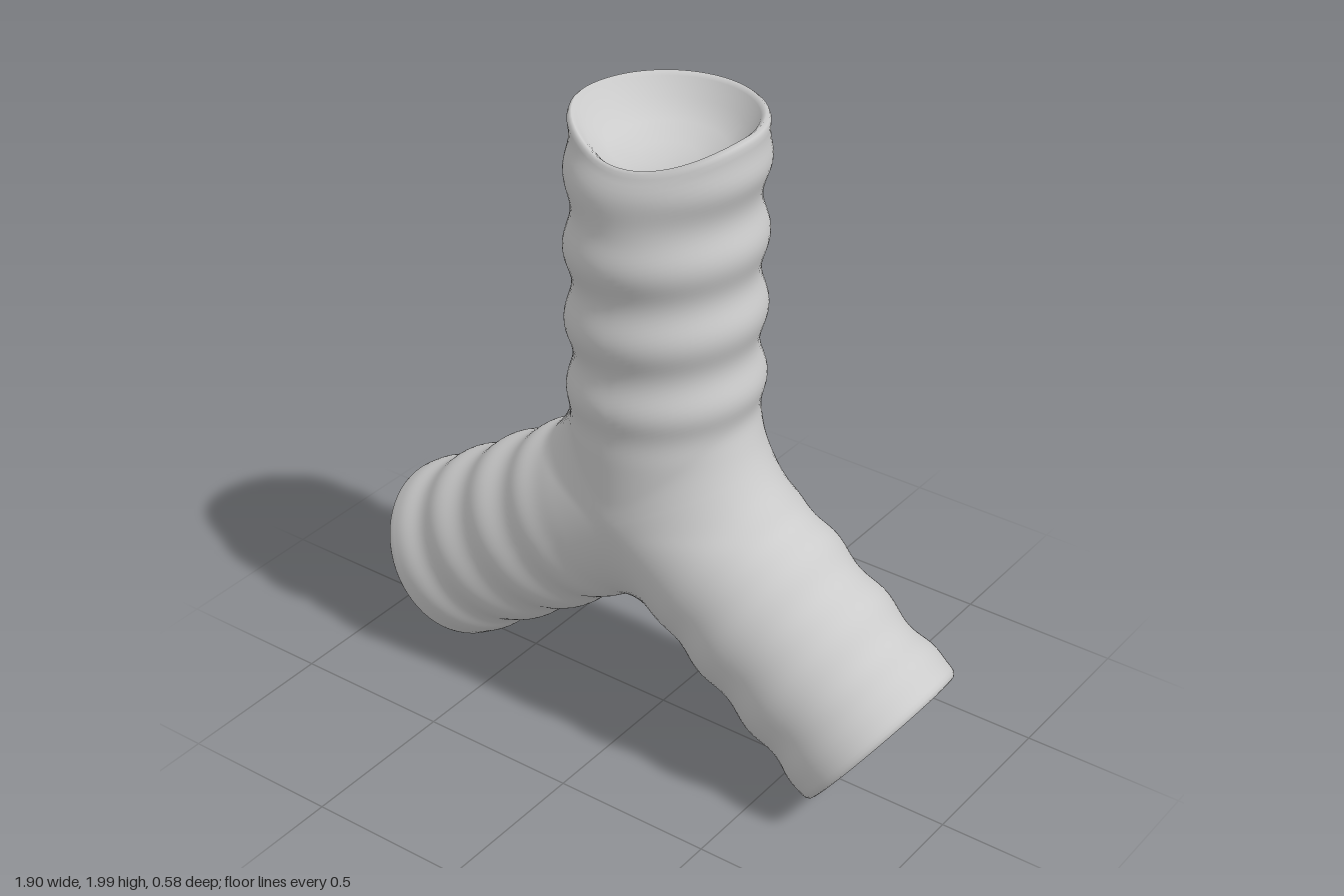
import * as THREE from 'three';
import { mergeVertices } from 'three/addons/utils/BufferGeometryUtils.js';

const R = 0.277, AROUND = 64, ROWS = 64;
const centre = new THREE.Vector3(0.01, 0.81, 0);
const zAxis = new THREE.Vector3(0, 0, 1);
const V = (x, y, z = 0) => new THREE.Vector3(x, y, z);
const smooth = THREE.MathUtils.smoothstep;

// cap rows: [radius scale, rise along the arm, blend towards the floor]
const flatCap = [[0.99, 0.012, 0], [0.965, 0.022, 0], [0.93, 0.025, 0], [0.85, 0.025, 0], [0, 0.025, 0]];
const bowlCap = [[0.985, 0.012, 0], [0.95, 0.02, 0], [0.9, 0.012, 0.03], [0.8, 0, 0.35],
  [0.6, 0, 0.75], [0.3, 0, 0.96], [0, 0, 1]];

// arms in order, each next to the following one
const arms = [
  { dir: V(0, 1), length: 1.19, amp: 0.012, period: 0.228, crest: 0.81, cap: bowlCap, floor: 1.05, open: true },
  { dir: V(-0.83, -0.56).normalize(), length: 0.98, amp: 0.007, period: 0.2, crest: 0.92, cap: flatCap, floor: 0.98 },
  { dir: V(0.8, -0.6), length: 0.965, amp: 0.007, period: 0.22, crest: 0.9, cap: flatCap, floor: 0.965 },
];
arms.forEach((a) => { a.side = V(-a.dir.y, a.dir.x); });

// distance to one ringed arm
function armField(a, p) {
  const q = p.clone().sub(centre);
  const t = Math.max(0, q.dot(a.dir));
  const wave = Math.cos((t - a.crest) / a.period * Math.PI * 2 + 3 * q.dot(a.side));
  const fade = smooth(t, 0.2, 0.4) * (1 - smooth(t, a.length - 0.15, a.length));
  const flare = 0.007 * smooth(t, a.length - 0.2, a.length - 0.05);
  return q.addScaledVector(a.dir, -t).length() - R - flare - a.amp * wave * fade;
}

// arms blended together, with fillets only in the plane of the fork
function field(p) {
  const k = 0.008 + 0.13 * Math.max(0, 1 - (p.z / R) ** 2);
  return arms.map((a) => armField(a, p)).reduce((m, f) => {
    const h = Math.max(0, k - Math.abs(m - f)) / k;
    return Math.min(m, f) - h * h * k / 4;
  });
}

// moves a point onto the blended surface
function settle(p) {
  const e = 0.001;
  for (let i = 0; i < 6; i++) {
    const f = field(p);
    const g = V(
      field(V(p.x + e, p.y, p.z)) - field(V(p.x - e, p.y, p.z)),
      field(V(p.x, p.y + e, p.z)) - field(V(p.x, p.y - e, p.z)),
      field(V(p.x, p.y, p.z + e)) - field(V(p.x, p.y, p.z - e)),
    ).divideScalar(2 * e);
    p.addScaledVector(g, -0.9 * f / Math.max(0.3, g.lengthSq()));
  }
  return p;
}

const halfCot = (a, b) => {
  const c = a.dir.dot(b.dir);
  return (1 + c) / Math.sqrt(1 - c * c);
};

function addArm(index, positions, indices) {
  const a = arms[index];
  const next = halfCot(a, arms[(index + 1) % 3]), prev = halfCot(a, arms[(index + 2) % 3]);
  const start = positions.length / 3;
  const rows = ROWS + 1 + a.cap.length;
  const rim = [];
  for (let i = 0; i < rows; i++) {
    for (let j = 0; j < AROUND; j++) {
      const th = j / AROUND * Math.PI * 2, c = Math.cos(th), s = Math.sin(th);
      const front = a.open ? Math.max(0, s) ** 2 : 0;
      let p;
      if (i <= ROWS) {
        // wall, from the mitre between arms to the end
        const t0 = R * Math.abs(c) * (c > 0 ? next : prev);
        const t = THREE.MathUtils.lerp(t0, a.length - 0.022 - 0.085 * front, i / ROWS);
        p = settle(centre.clone().addScaledVector(a.dir, t)
          .addScaledVector(a.side, R * c).addScaledVector(zAxis, R * s));
        // the open end leans back at the front
        p.z -= 0.06 * front * smooth(p.y, 1.72, 1.95);
        if (i === ROWS) rim[j] = p.clone().sub(centre);
      } else {
        // rounded lip and cap
        const [scale, rise, blend] = a.cap[i - ROWS - 1];
        const t = rim[j].dot(a.dir);
        const radial = rim[j].clone().addScaledVector(a.dir, -t).multiplyScalar(scale);
        p = centre.clone().add(radial)
          .addScaledVector(a.dir, THREE.MathUtils.lerp(t + rise, scale === 0 && !a.open ? a.length : a.floor, scale === 0 ? 1 : blend));
      }
      positions.push(p.x, p.y, p.z);
      if (i < rows - 1) {
        const k = (j + 1) % AROUND, r0 = start + i * AROUND, r1 = r0 + AROUND;
        indices.push(r0 + j, r0 + k, r1 + k, r0 + j, r1 + k, r1 + j);
      }
    }
  }
}

export function createModel() {
  const positions = [], indices = [];
  arms.forEach((_, i) => addArm(i, positions, indices));
  let geometry = new THREE.BufferGeometry();
  geometry.setAttribute('position', new THREE.Float32BufferAttribute(positions, 3));
  geometry.setIndex(indices);
  geometry = mergeVertices(geometry, 1e-3);
  geometry.computeVertexNormals();

  const tube = new THREE.Mesh(geometry, new THREE.MeshStandardMaterial({ color: 0xcccccc }));
  tube.name = 'forkedRingedTube';
  const model = new THREE.Group();
  model.name = 'forkedTube';
  model.add(tube);
  return model;
}
